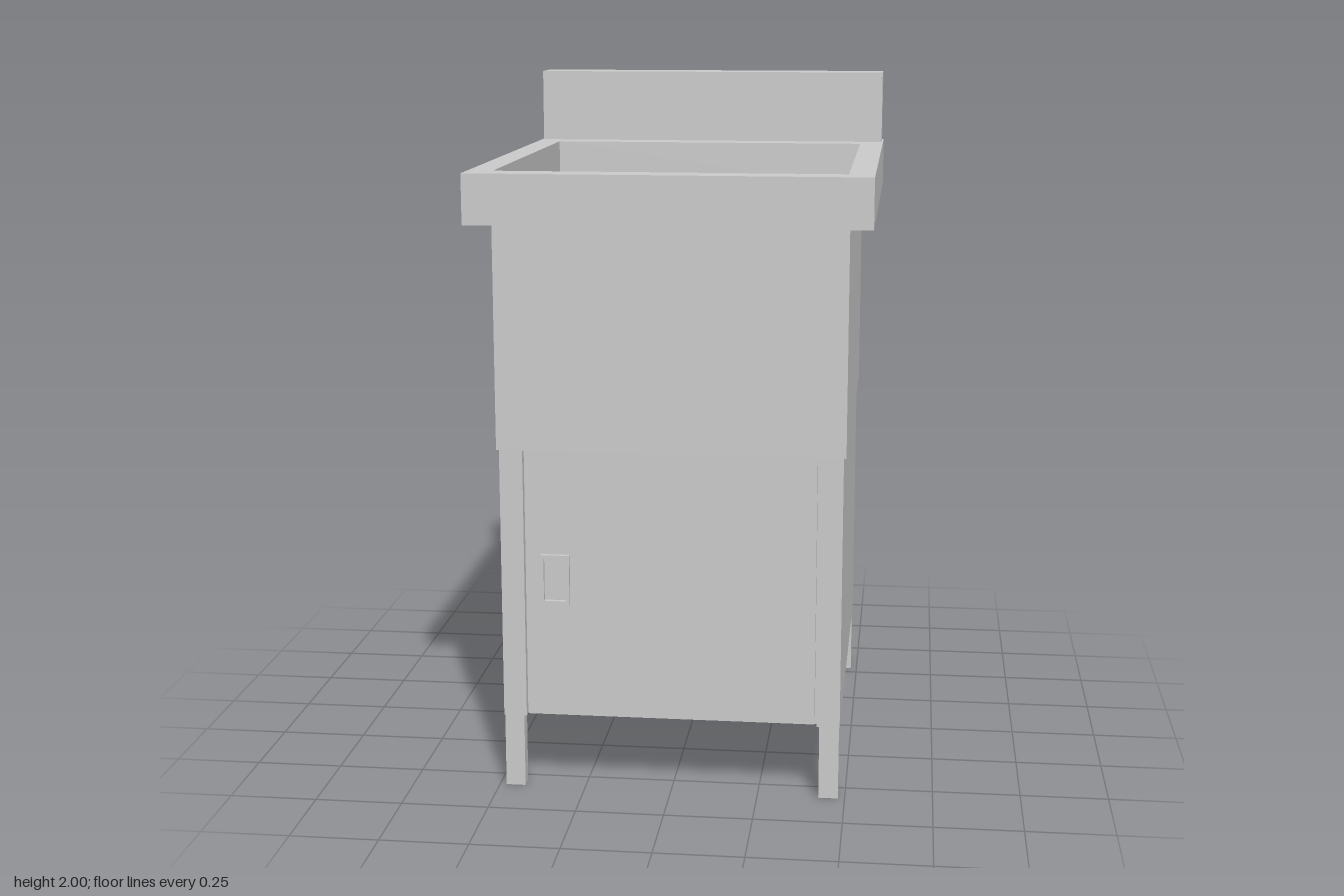
import * as THREE from 'three';

const material = new THREE.MeshStandardMaterial({ color: 0xcccccc, flatShading: true });

function add(group, name, geometry) {
  const mesh = new THREE.Mesh(geometry, material);
  mesh.name = name;
  group.add(mesh);
  return mesh;
}

// Box given by its extents on each axis
function box(group, name, [x0, x1], [y0, y1], [z0, z1]) {
  const mesh = add(group, name, new THREE.BoxGeometry(x1 - x0, y1 - y0, z1 - z0));
  mesh.position.set((x0 + x1) / 2, (y0 + y1) / 2, (z0 + z1) / 2);
  return mesh;
}

function trace(path, x0, x1, y0, y1) {
  path.moveTo(x0, y0);
  path.lineTo(x1, y0);
  path.lineTo(x1, y1);
  path.lineTo(x0, y1);
  path.closePath();
  return path;
}

// Rectangular frame extruded along +z
function frame(outer, inner, depth) {
  const shape = trace(new THREE.Shape(), ...outer);
  shape.holes.push(trace(new THREE.Path(), ...inner));
  return new THREE.ExtrudeGeometry(shape, { depth, bevelEnabled: false });
}

// Horizontal frame; extents are x0, x1, z0, z1
function ring(outer, inner, y0, y1) {
  const flip = ([x0, x1, z0, z1]) => [x0, x1, -z1, -z0];
  return frame(flip(outer), flip(inner), y1 - y0).rotateX(-Math.PI / 2).translate(0, y0, 0);
}

export function createModel() {
  const model = new THREE.Group();
  model.name = 'sinkCabinet';
  const opening = [-0.484, 0.484, -0.46, 0.58];

  // Worktop rim and splashback
  add(model, 'worktopRim', ring([-0.555, 0.555, -0.665, 0.665], opening, 1.64, 1.78));
  box(model, 'splashback', [-0.55, 0.55], [1.78, 2], [-0.665, -0.543]);

  // Deep basin with floor and drain
  add(model, 'basinWalls', ring([-0.49, 0.49, -0.585, 0.588], opening, 1, 1.64));
  box(model, 'basinFloor', [-0.484, 0.484], [1, 1.015], [-0.46, 0.58]);
  const drain = add(model, 'drain', new THREE.CylinderGeometry(0.147, 0.147, 0.004, 64));
  drain.position.set(-0.193, 1.016, 0.015);

  // Cabinet below, with front posts and an inset door
  box(model, 'cabinetBody', [-0.483, 0.483], [0.215, 1], [-0.58, 0.56]);
  for (const side of [-1, 1]) {
    const post = box(model, side > 0 ? 'leftPost' : 'rightPost', [-0.033, 0.033], [0.215, 1], [0.56, 0.583]);
    post.position.x = side * 0.45;
  }
  box(model, 'door', [-0.411, 0.411], [0.222, 1], [0.56, 0.583]);

  // Recessed door pull
  const pull = add(model, 'doorPull', frame([-0.37, -0.286, 0.555, 0.7], [-0.359, -0.297, 0.566, 0.689], 0.012));
  pull.position.z = 0.583;

  // Square legs
  for (const x of [-0.453, 0.453]) {
    for (const z of [-0.558, 0.56]) {
      box(model, 'leg', [x - 0.028, x + 0.028], [0, 0.22], [z - 0.02, z + 0.02]);
    }
  }
  return model;
}
